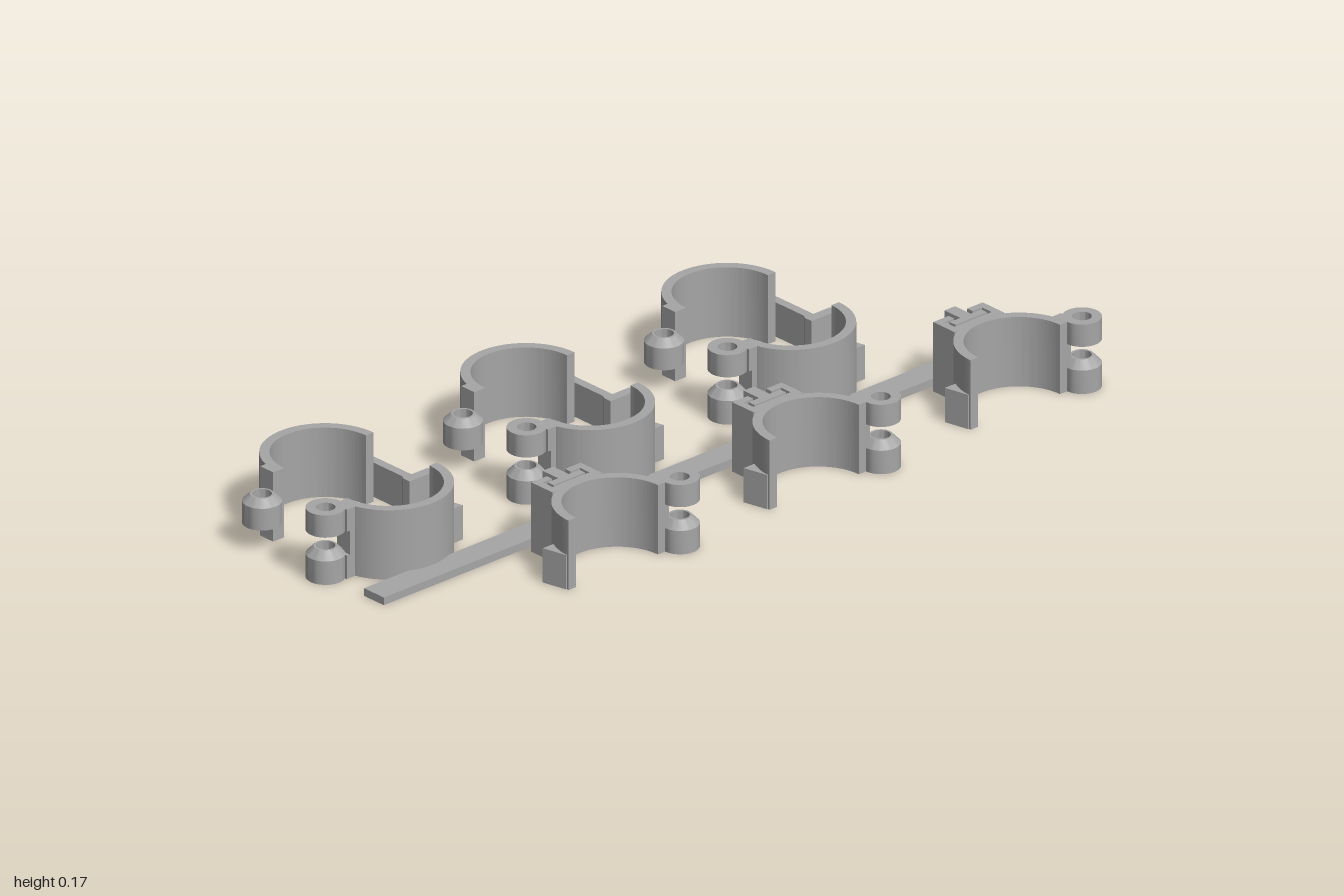
import * as THREE from 'three';
import { toCreasedNormals } from 'three/addons/utils/BufferGeometryUtils.js';

const H = 0.172;      // height of the clamps
const OUT = 0.147;    // clamp outer radius
const IN = 0.124;     // clamp inner radius
const HINGE = -0.191; // hinge offset from the clamp centre
const STEP = 0.61;    // spacing between clamp sets

export function createModel() {
  const gray = new THREE.MeshStandardMaterial({ color: 0xa6a6a6 });
  gray.name = 'gray plastic';
  const model = new THREE.Group();
  model.name = 'clampSet';

  const add = (parent, name, geometry) => {
    const mesh = new THREE.Mesh(geometry, gray);
    mesh.name = name;
    parent.add(mesh);
    return mesh;
  };

  // Plan outline in x,z raised from y0 to y1
  const raise = (shape, y0, y1) => {
    const g = new THREE.ExtrudeGeometry(shape, { depth: y1 - y0, bevelEnabled: false, curveSegments: 40 });
    g.rotateX(Math.PI / 2).translate(0, y1, 0);
    return toCreasedNormals(g, 0.5);
  };
  const outline = (pts) => new THREE.Shape(pts.map(([x, z]) => new THREE.Vector2(x, z)));
  const block = (x0, x1, y0, y1, z0, z1) =>
    new THREE.BoxGeometry(x1 - x0, y1 - y0, Math.abs(z1 - z0))
      .translate((x0 + x1) / 2, (y0 + y1) / 2, (z0 + z1) / 2);

  // Hollow hinge knuckles, as closed radius/height profiles
  const knuckles = {
    lowerKnuckle: [[0.022, 0], [0.045, 0], [0.045, 0.058], [0.027, 0.077], [0.022, 0.077], [0.022, 0]],
    upperKnuckle: [[0.022, 0.135], [0.038, 0.117], [0.045, 0.117], [0.045, H], [0.022, H], [0.022, 0.135]],
    middleKnuckle: [[0.022, 0.078], [0.038, 0.06], [0.045, 0.06], [0.045, 0.114], [0.027, 0.131], [0.022, 0.131], [0.022, 0.078]],
  };
  const addKnuckle = (parent, name, s, y0, y1) => {
    const profile = knuckles[name].map(([r, y]) => new THREE.Vector2(r, y));
    add(parent, name, toCreasedNormals(new THREE.LatheGeometry(profile, 32), 0.5)).position.x = HINGE;
    add(parent, name + 'Web', block(HINGE + 0.025, -0.13, y0, y1, 0.003 * s, 0.043 * s));
  };

  // Half ring bulging toward s on z, with its hinge on the -x end
  const halfClamp = (name, s, x, z) => {
    const group = new THREE.Group();
    group.name = name;
    group.position.set(x, 0, z);
    model.add(group);
    const a = s > 0 ? 0 : Math.PI;
    const ring = new THREE.Shape();
    ring.absarc(0, 0, OUT, a, a + Math.PI, false);
    ring.absarc(0, 0, IN, a + Math.PI, a, true);
    add(group, 'halfRing', raise(ring, 0, H));
    add(group, 'hingeMount', block(-0.157, -0.13, 0, H, 0, 0.043 * s));
    return group;
  };

  // Clamp half with two outer knuckles and a snap catch
  const catchClamp = (name, x, z) => {
    const group = halfClamp(name, 1, x, z);
    addKnuckle(group, 'lowerKnuckle', 1, 0, 0.058);
    addKnuckle(group, 'upperKnuckle', 1, 0.117, H);
    add(group, 'snapCatch', raise(outline([[0.135, 0.006], [0.149, 0.006], [0.163, 0.068], [0.125, 0.068]]), 0, 0.085));
    return group;
  };

  for (let i = 0; i < 3; i++) {
    // Back row: middle knuckle and bent latch arm
    const back = halfClamp('latchClamp', -1, -0.764 + i * STEP, -0.263);
    addKnuckle(back, 'middleKnuckle', -1, 0.06, 0.114);
    add(back, 'latchArm', raise(outline([
      [0.09, -0.115], [0.186, -0.115], [0.186, 0.083], [0.236, 0.083], [0.236, 0.108],
      [0.158, 0.108], [0.158, 0.086], [0.164, 0.076], [0.164, -0.082], [0.121, -0.082],
    ]), 0, 0.085));

    // Middle row
    catchClamp('catchClamp', -0.764 + i * STEP, -0.053);

    // Front row, turned round, carrying a slotted rail holder
    const front = catchClamp('holderClamp', -0.456 + i * STEP, 0.367);
    front.rotation.y = Math.PI;
    add(front, 'railHolder', raise(outline([
      [-0.075, 0.132], [0.075, 0.132], [0.075, 0.202], [0.028, 0.202], [0.028, 0.184], [0.056, 0.184],
      [0.056, 0.152], [-0.056, 0.152], [-0.056, 0.184], [-0.028, 0.184], [-0.028, 0.202], [-0.075, 0.202],
    ]), 0, H));
    add(front, 'holderFloor', block(-0.056, 0.056, 0, 0.018, 0.152, 0.184));
    add(front, 'slidingTab', raise(outline([
      [-0.048, 0.158], [0.048, 0.158], [0.048, 0.177], [0.016, 0.177],
      [0.016, 0.229], [-0.016, 0.229], [-0.016, 0.177], [-0.048, 0.177],
    ]), 0, H));
  }

  // Flat strip lying between the rows
  add(model, 'baseStrip', block(-0.96, 0.815, 0, 0.019, 0.08, 0.145));
  return model;
}
